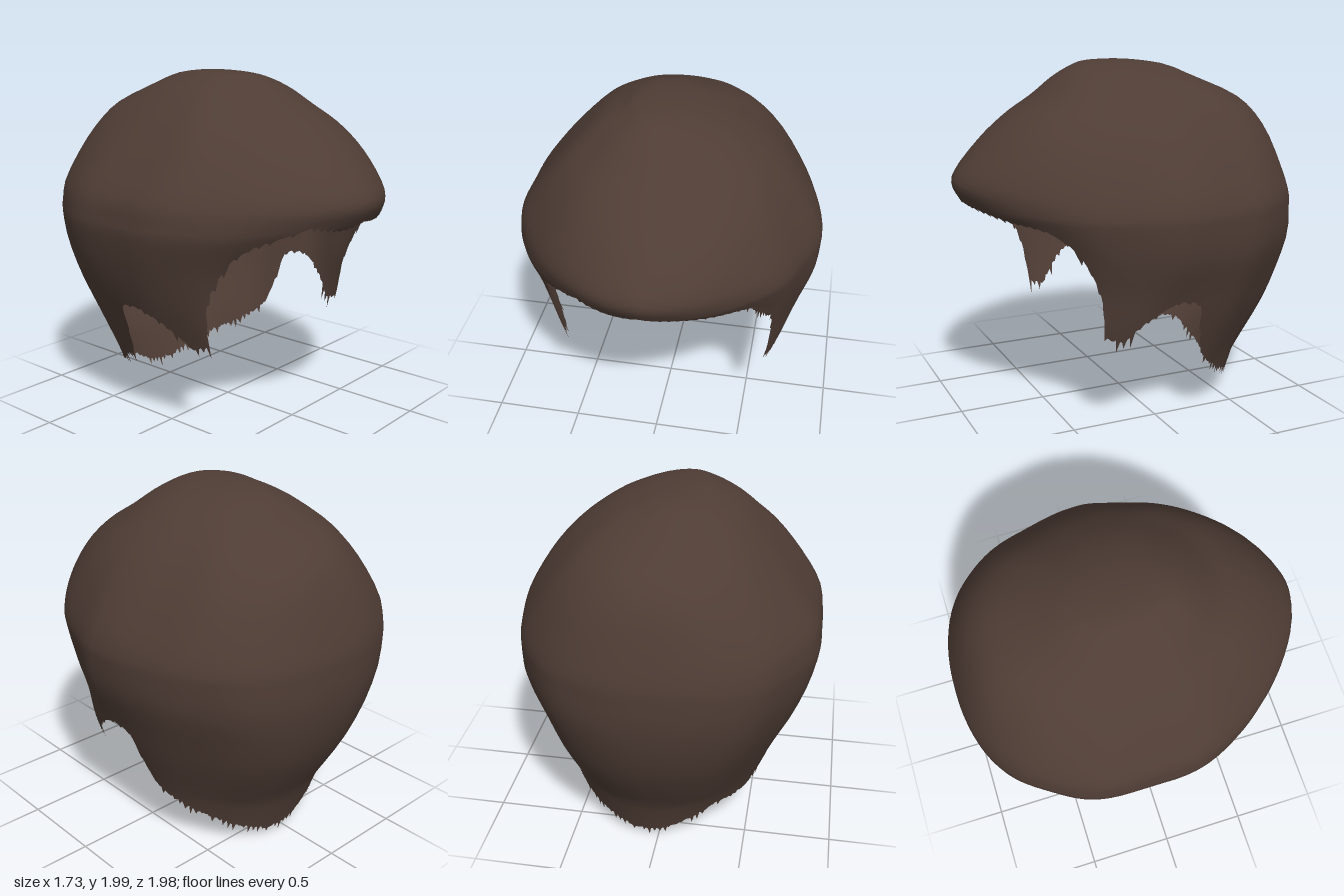
import * as THREE from 'three';

const COLS = 360, ROWS = 32;

// Cross-sections from crown to nape:
// height, half-width, front reach, back reach, front roundness, back roundness, x shift
const SECTIONS = [
  [2.0, 0, 0, 0, 2, 2, -0.1],
  [1.992, 0.1, 0.17, 0.14, 2, 2, -0.09],
  [1.965, 0.2, 0.27, 0.31, 2, 2.1, -0.05],
  [1.9, 0.35, 0.38, 0.46, 2, 2.2, -0.03],
  [1.8, 0.48, 0.51, 0.69, 2, 2.3, -0.01],
  [1.7, 0.585, 0.665, 0.81, 2, 2.3, 0],
  [1.56, 0.7, 0.83, 0.89, 1.9, 2.35, 0],
  [1.37, 0.825, 0.985, 0.955, 1.75, 2.35, -0.01],
  [1.25, 0.86, 0.95, 0.985, 1.82, 2.35, 0],
  [1.17, 0.865, 0.88, 0.99, 1.88, 2.35, 0],
  [1.0, 0.84, 0.76, 0.99, 1.88, 2.35, 0.01],
  [0.8, 0.775, 0.7, 0.95, 1.95, 2.3, 0.01],
  [0.6, 0.7, 0.7, 0.88, 2.1, 2.25, 0.02],
  [0.4, 0.63, 0.7, 0.77, 2.1, 2.2, 0.02],
  [0.25, 0.6, 0.68, 0.69, 2, 2.1, 0.02],
  [-0.05, 0.58, 0.65, 0.61, 2, 2, 0.02],
];

// Hem height by angle in degrees: fringe, temple, sideburn, ear arch, nape
const SIDE = [[46, 1.1], [49.5, 1.0], [53, 0.9], [56.5, 0.76], [60, 0.58], [69, 0.55], [74, 0.63],
  [82, 0.71], [90, 0.76], [96.5, 0.745], [98.5, 0.66], [101, 0.5], [104, 0.4]];
const HEM_LEFT = [[0, 1.25], [12, 1.235], [25, 1.2], [40, 1.17], ...SIDE,
  [111, 0.34], [121, 0.27], [135, 0.21], [150, 0.14], [168, 0.07], [180, 0.07]];
const HEM_RIGHT = [[0, 1.25], [12, 1.22], [25, 1.26], [40, 1.17], ...SIDE,
  [112, 0.36], [122, 0.29], [145, 0.27], [160, 0.18], [172, 0.1], [180, 0.07]];

let seed = 7;
const random = () => (seed = (seed * 16807) % 2147483647) / 2147483647;

function hemAt(deg) {
  const table = deg <= 180 ? HEM_LEFT : HEM_RIGHT;
  const a = deg <= 180 ? deg : 360 - deg;
  let i = 0;
  while (i < table.length - 2 && table[i + 1][0] < a) i++;
  const [a0, y0] = table[i], [a1, y1] = table[i + 1];
  return y0 + (y1 - y0) * (a - a0) / (a1 - a0);
}

// Smoothly interpolated cross-section; s runs over the section index
function sectionAt(s) {
  const n = SECTIONS.length - 1;
  const i = Math.min(Math.floor(s), n - 1), f = s - i;
  const [a, b, c, d] = [Math.max(i - 1, 0), i, i + 1, Math.min(i + 2, n)].map(k => SECTIONS[k]);
  return b.map((_, k) => b[k] + 0.5 * f * (c[k] - a[k] +
    f * (2 * a[k] - 5 * b[k] + 4 * c[k] - d[k] + f * (3 * (b[k] - c[k]) + d[k] - a[k]))));
}

function sectionIndexFor(y) {
  let lo = 0, hi = SECTIONS.length - 1;
  for (let k = 0; k < 24; k++) {
    const mid = (lo + hi) / 2;
    if (sectionAt(mid)[0] > y) lo = mid; else hi = mid;
  }
  return lo;
}

const bend = (v, p) => Math.sign(v) * Math.abs(v) ** (2 / p);

function surfacePoint(s, t) {
  const [y, w, front, back, frontPower, backPower, shift] = sectionAt(s);
  const c = Math.cos(t);
  const reach = c > 0 ? front : back, p = c > 0 ? frontPower : backPower;
  // gentle lumps in the locks, fading towards the front and back
  const lump = 1 + Math.sin(t) ** 2 *
    (0.009 * Math.sin(7 * t + 2.2 * y) + 0.007 * Math.sin(11 * t - 3 * y + 1));
  return [shift + w * bend(Math.sin(t), p) * lump, y, reach * bend(c, p) * lump];
}

function hairGeometry() {
  const positions = [], indices = [];
  for (let i = 0; i < COLS; i++) {
    const deg = i * 360 / COLS, t = deg * Math.PI / 180;
    const a = Math.min(deg, 360 - deg);
    const hem = hemAt(deg), end = sectionIndexFor(hem);
    for (let j = 0; j < ROWS; j++) positions.push(...surfacePoint(end * j / (ROWS - 1), t));
    // ragged strand tips, longest on the sideburns and short on the fringe
    const length = a < 46 ? 0.025 : a > 58 && a < 76 ? 0.1 : a > 80 && a < 98 ? 0.03 : 0.065;
    const tip = hem - length * random() * (i % 3 === 0 ? 1 : 0.25);
    positions.push(...surfacePoint(sectionIndexFor(Math.max(tip, 0)), t));
  }
  const stride = ROWS + 1;
  for (let i = 0; i < COLS; i++) {
    for (let j = 0; j < ROWS; j++) {
      const a = i * stride + j, b = ((i + 1) % COLS) * stride + j;
      if (j > 0) indices.push(a, a + 1, b);
      indices.push(b, a + 1, b + 1);
    }
  }
  const geometry = new THREE.BufferGeometry();
  geometry.setAttribute('position', new THREE.Float32BufferAttribute(positions, 3));
  geometry.setIndex(indices);
  geometry.computeVertexNormals();
  // the crown point is shared by every column
  const normal = geometry.attributes.normal;
  for (let i = 0; i < COLS; i++) normal.setXYZ(i * stride, 0, 1, 0);
  return geometry;
}

export function createModel() {
  const darkBrown = new THREE.MeshStandardMaterial({ color: 0x4f3d35, side: THREE.DoubleSide });
  darkBrown.name = 'darkBrown';
  const hair = new THREE.Mesh(hairGeometry(), darkBrown);
  hair.name = 'hairShell';
  const group = new THREE.Group();
  group.name = 'hair';
  group.add(hair);
  return group;
}
